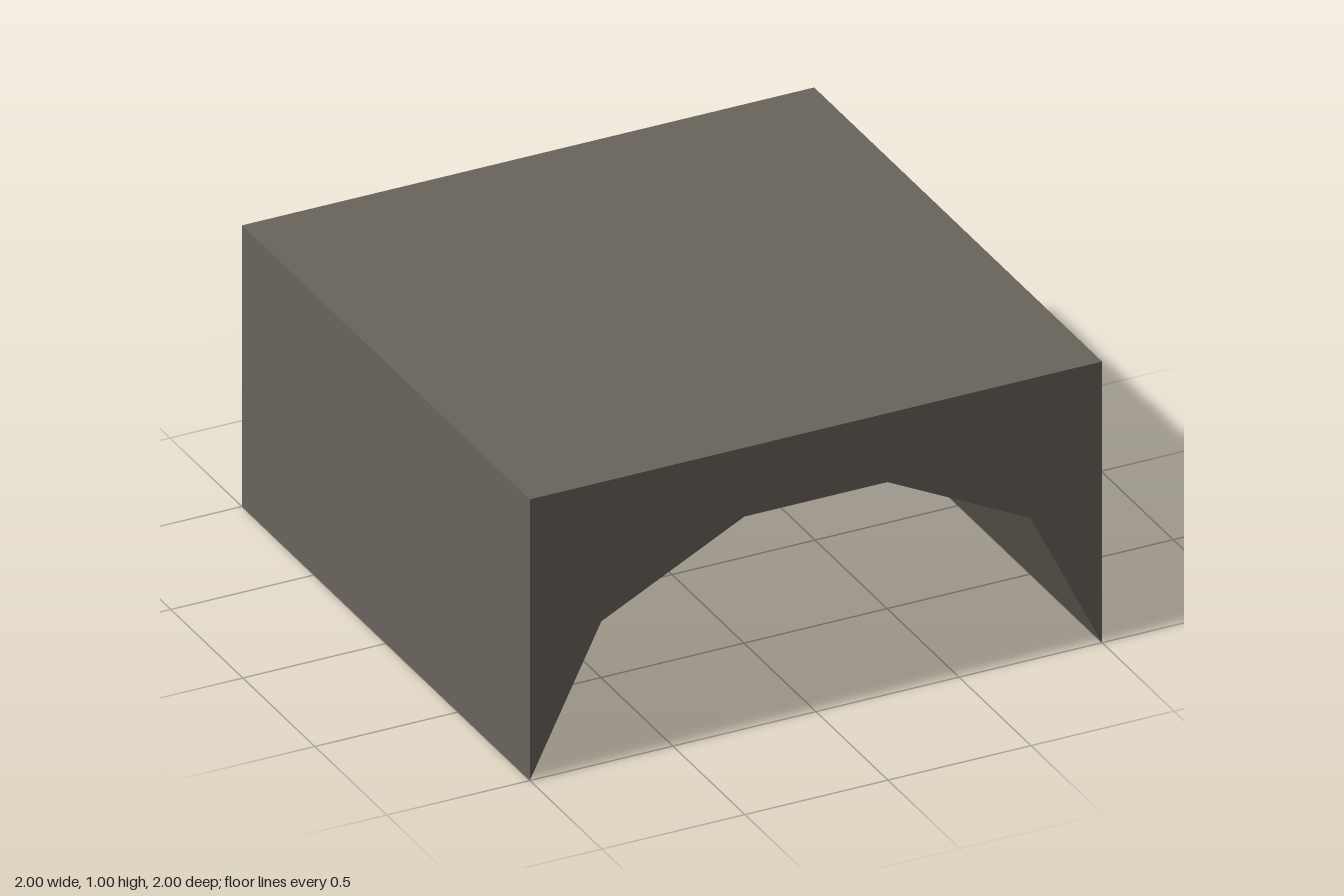
import * as THREE from 'three';

export function createModel() {
  const group = new THREE.Group();
  group.name = 'archBlock';

  const stone = new THREE.MeshStandardMaterial({ color: 0x69635b });
  stone.name = 'greyBrownStone';

  // Half of the faceted arch, from the foot to the crown
  const halfArch = [[1, 0], [0.75, 0.505], [0.25, 0.755]];
  const mirrored = halfArch.map(([x, y]) => [-x, y]).reverse();

  // Block outline with the arch cut out from below
  const outline = [[1, 1], [-1, 1], ...mirrored.reverse(), ...halfArch.reverse()];
  const shape = new THREE.Shape(outline.map(([x, y]) => new THREE.Vector2(x, y)));

  // mirrored was reversed twice: it now runs foot to crown on the left side
  const geometry = new THREE.ExtrudeGeometry(shape, { depth: 2, bevelEnabled: false });
  geometry.translate(0, 0, -1);

  const arch = new THREE.Mesh(geometry, stone);
  arch.name = 'archedVault';
  group.add(arch);
  return group;
}
